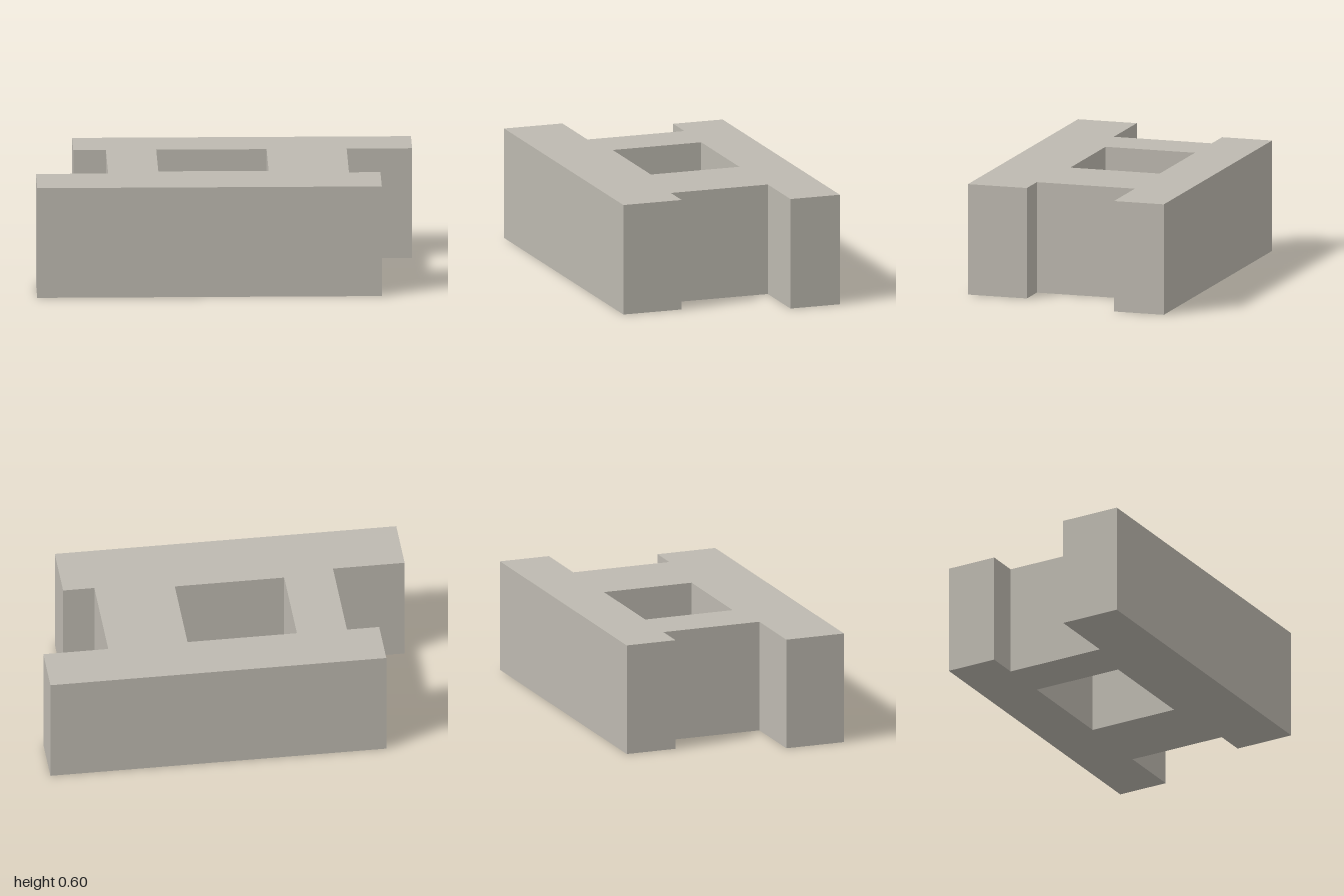
import * as THREE from 'three';

const HEIGHT = 0.595;

// Plan points are [x, z]; shape y is -z so the extrusion can be laid flat
const toPlan = (points) => points.map(([x, z]) => new THREE.Vector2(x, -z));

export function createModel() {
  const model = new THREE.Group();
  const stone = new THREE.MeshStandardMaterial({ color: 0xbdb9b0 });
  stone.name = 'warm grey';

  // Two offset bars joined by a narrower core
  const plan = new THREE.Shape(toPlan([
    [-1, 0.575], [0.82, 0.575], [0.82, 0.247], [0.654, 0.247],
    [0.654, -0.299], [1, -0.299], [1, -0.577], [-0.79, -0.577],
    [-0.79, -0.299], [-0.618, -0.299], [-0.618, 0.247], [-1, 0.247],
  ]));

  // Rectangular opening through the core
  plan.holes.push(new THREE.Path(toPlan([
    [-0.352, 0.203], [-0.352, -0.295], [0.231, -0.295], [0.231, 0.203],
  ])));

  const geometry = new THREE.ExtrudeGeometry(plan, { depth: HEIGHT, bevelEnabled: false });
  geometry.rotateX(-Math.PI / 2);

  const block = new THREE.Mesh(geometry, stone);
  block.name = 'hollowBlock';
  model.add(block);
  return model;
}
